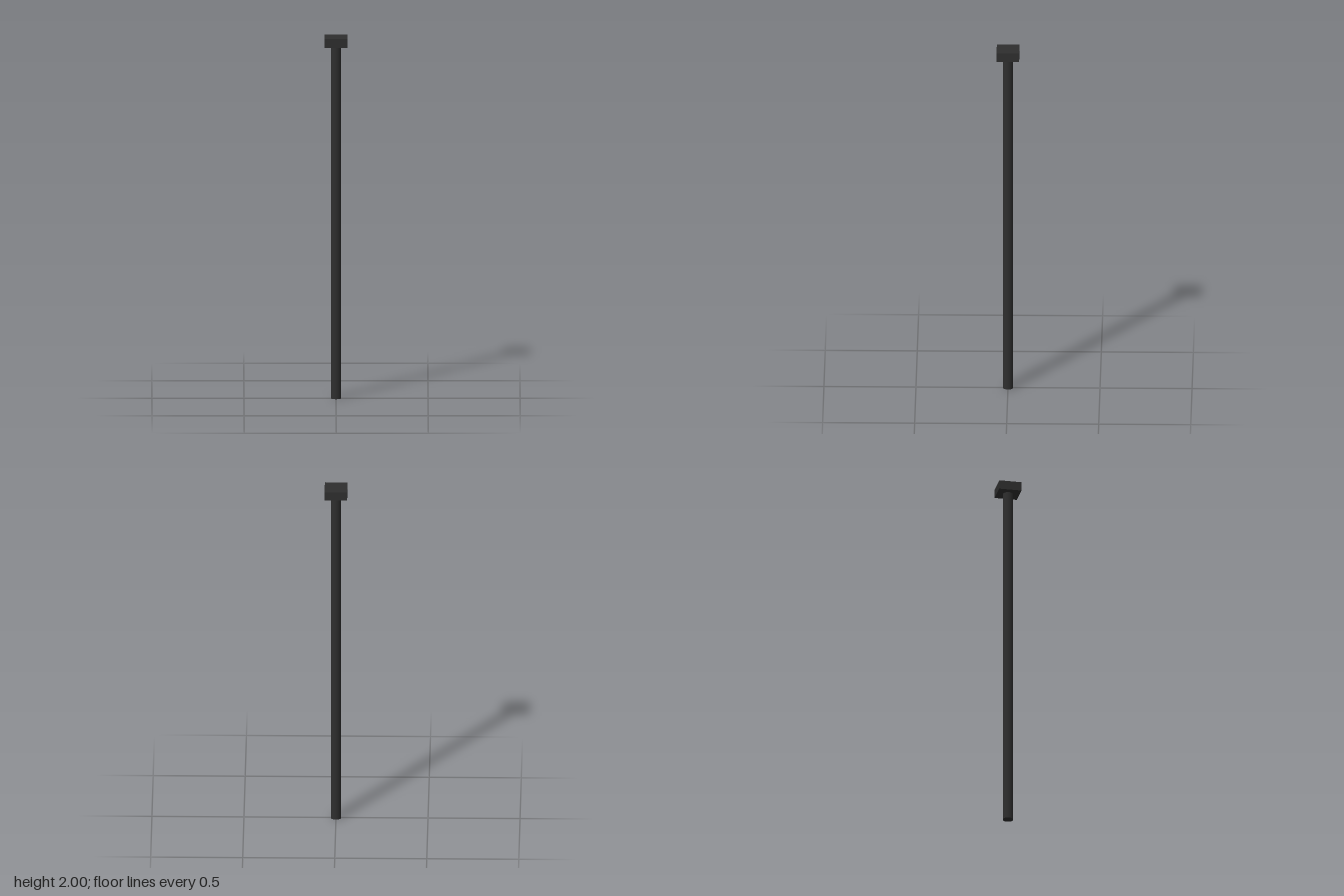
import * as THREE from 'three';

const HEIGHT = 2, CAP_WIDTH = 0.123, CAP_HEIGHT = 0.05, POLE_RADIUS = 0.028;

export function createModel() {
  const model = new THREE.Group();
  model.name = 'post';
  const material = new THREE.MeshStandardMaterial({ color: 0x2e2e2e });

  const add = (name, geometry, y) => {
    const mesh = new THREE.Mesh(geometry, material);
    mesh.name = name;
    mesh.position.y = y;
    model.add(mesh);
  };

  // Round pole standing on the ground
  const poleHeight = HEIGHT - CAP_HEIGHT;
  add('pole', new THREE.CylinderGeometry(POLE_RADIUS, POLE_RADIUS, poleHeight, 32), poleHeight / 2);

  // Square plate on top
  add('topPlate', new THREE.BoxGeometry(CAP_WIDTH, CAP_HEIGHT, CAP_WIDTH), HEIGHT - CAP_HEIGHT / 2);

  return model;
}
